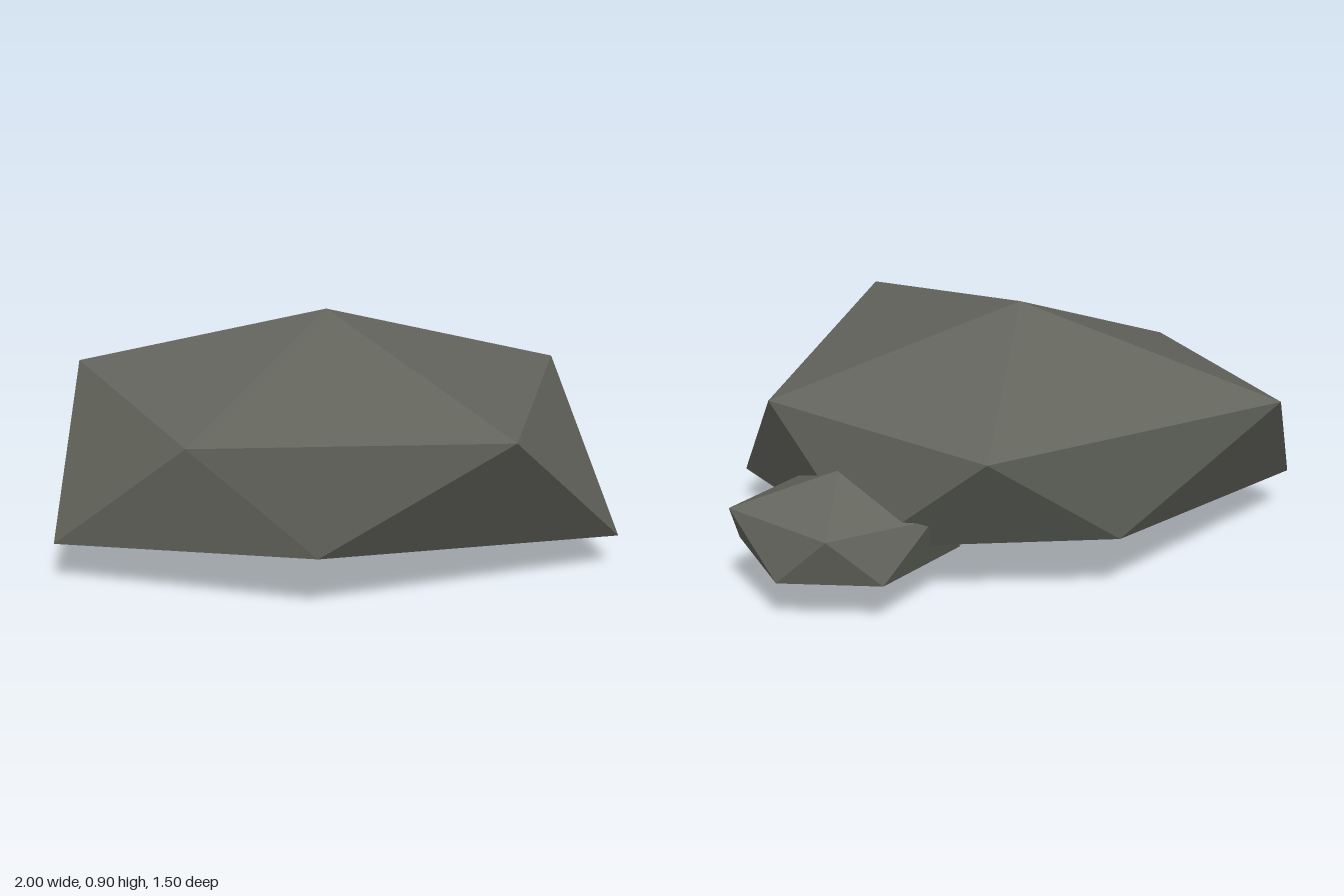
import * as THREE from 'three';

// Faceted boulder: two staggered rings of five corners, closed by a top and a bottom point.
function boulder(name, material, top, bottom, upper, lower) {
  const pos = [];
  const tri = (a, b, c) => pos.push(...a, ...b, ...c);
  for (let i = 0; i < 5; i++) {
    const j = (i + 1) % 5;
    tri(top, upper[j], upper[i]);
    tri(upper[i], upper[j], lower[i]);
    tri(upper[j], lower[j], lower[i]);
    tri(bottom, lower[i], lower[j]);
  }
  const geo = new THREE.BufferGeometry();
  geo.setAttribute('position', new THREE.Float32BufferAttribute(pos, 3));
  geo.computeVertexNormals(); // unshared corners give flat facets
  const mesh = new THREE.Mesh(geo, material);
  mesh.name = name;
  return mesh;
}

export function createModel() {
  const stone = new THREE.MeshStandardMaterial({ color: 0x62645c });
  stone.name = 'grey stone';
  const group = new THREE.Group();
  group.name = 'rocks';

  // Main boulder, rings run from +x towards +z
  group.add(boulder('largeRock', stone,
    [-0.02, 0.9, -0.1], [-0.02, 0, -0.1],
    [[0.83, 0.625, -0.1], [0.32, 0.69, 0.75], [-0.62, 0.6, 0.24], [-0.785, 0.65, -0.55], [0.24, 0.625, -0.75]],
    [[0.865, 0.14, 0.42], [-0.24, 0.24, 0.45], [-1, 0.17, -0.1], [-0.23, 0.25, -0.62], [0.58, 0.23, -0.45]]));

  // Small rock leaning into its side
  group.add(boulder('smallRock', stone,
    [0.64, 0.46, -0.335], [0.64, 0.05, -0.335],
    [[1, 0.365, -0.335], [0.72, 0.34, -0.08], [0.36, 0.35, -0.13], [0.37, 0.35, -0.54], [0.73, 0.345, -0.61]],
    [[0.95, 0.14, -0.11], [0.53, 0.14, 0], [0.24, 0.135, -0.335], [0.55, 0.17, -0.615], [0.88, 0.17, -0.515]]));

  return group;
}
